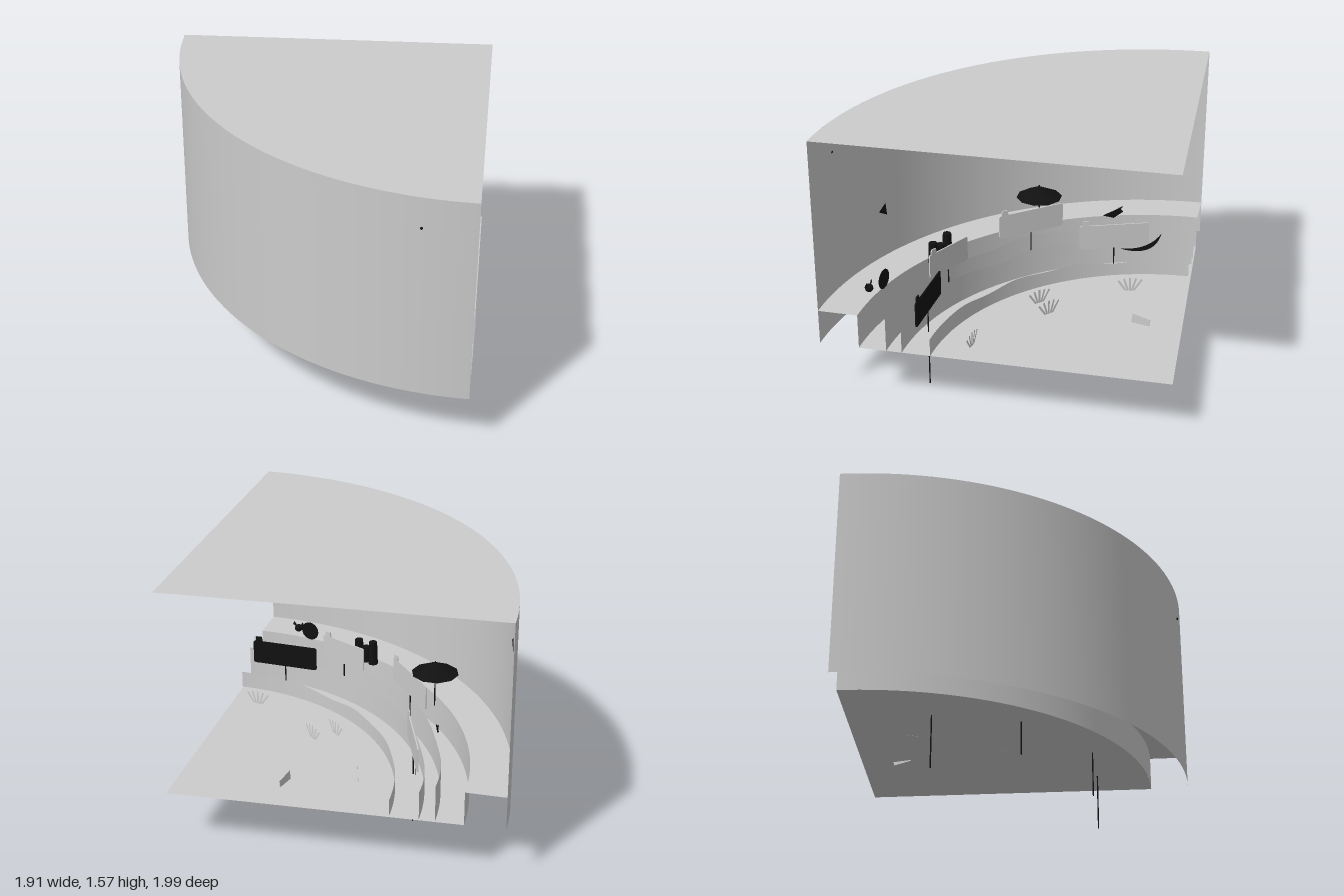
import * as THREE from 'three';

const CX = 0.97, CZ = -0.935, R = 1.93;      // centre and radius of the curved wall
const FLOOR = 0.34, TOP = 1.565, SHELF = 0.545;
const T0 = -0.006, T1 = 1.543;               // sweep of the arc, from back to front

const grey = new THREE.MeshStandardMaterial({ color: 0xcccccc, side: THREE.DoubleSide });
const dark = new THREE.MeshStandardMaterial({ color: 0x111111, side: THREE.DoubleSide });

const arc = (r, t) => [CX - r * Math.cos(t), CZ + r * Math.sin(t)];
const angleAt = (r, z) => Math.asin(Math.min(1, (z - CZ) / r));

export function createModel() {
  const model = new THREE.Group();
  const add = (name, geo, mat = grey, parent = model) => {
    const m = new THREE.Mesh(geo, mat);
    m.name = name;
    parent.add(m);
    return m;
  };

  // Surface spanned between two curves a(u) and b(u)
  const ribbon = (a, b, n) => {
    const pos = [], idx = [];
    for (let i = 0; i <= n; i++) {
      pos.push(...a(i / n), ...b(i / n));
      if (i < n) idx.push(2 * i, 2 * i + 1, 2 * i + 2, 2 * i + 1, 2 * i + 3, 2 * i + 2);
    }
    const g = new THREE.BufferGeometry();
    g.setAttribute('position', new THREE.Float32BufferAttribute(pos, 3));
    g.setIndex(idx);
    g.computeVertexNormals();
    return g;
  };
  const onArc = (r, yOf) => u => {
    const [x, z] = arc(r, T0 + u * (T1 - T0));
    return [x, yOf(u), z];
  };

  // Flat sector with its point at the open corner
  const sector = (r, y) => {
    const s = new THREE.Shape();
    s.moveTo(0.952, 1);
    for (let i = 0; i <= 64; i++) {
      const [x, z] = arc(r, T0 + (i / 64) * (T1 - T0));
      s.lineTo(x, -z);
    }
    return new THREE.ShapeGeometry(s).rotateX(-Math.PI / 2).translate(0, y, 0);
  };

  // Group on the arc whose local z faces the centre
  const place = (name, r, t, y) => {
    const g = new THREE.Group(), [x, z] = arc(r, t);
    g.name = name;
    g.position.set(x, y, z);
    g.rotation.y = Math.atan2(Math.cos(t), -Math.sin(t));
    model.add(g);
    return g;
  };
  const flat = pts => new THREE.ShapeGeometry(new THREE.Shape(pts.map(p => new THREE.Vector2(...p))));

  // Shell
  add('backWall', ribbon(onArc(R, () => FLOOR), onArc(R, () => TOP), 72));
  add('ceiling', sector(R, TOP));
  add('floor', sector(1.7, FLOOR));
  add('shelf', ribbon(onArc(1.7, () => SHELF), onArc(R, () => SHELF), 72));
  add('shelfFront', ribbon(onArc(1.7, () => FLOOR), onArc(1.7, () => SHELF), 72));

  // Scenery layers with wavy tops, heights listed from back to front
  const layers = [
    [1.54, [0.56, 0.53, 0.5, 0.54, 0.56, 0.53, 0.54, 0.56, 0.58, 0.58]],
    [1.45, [0.51, 0.48, 0.46, 0.49, 0.51, 0.48, 0.5, 0.51, 0.49, 0.54]],
    [1.285, [0.44, 0.44, 0.42, 0.44, 0.43, 0.44, 0.42, 0.44, 0.44, 0.445]],
  ];
  for (const [r, heights] of layers) {
    const c = new THREE.SplineCurve(heights.map((y, i) => new THREE.Vector2(i, y)));
    add('sceneryLayer', ribbon(onArc(r, () => FLOOR), onArc(r, u => c.getPoint(u).y), 72));
  }

  // Signs on long poles: x, z, turn, width, bottom, top, pole foot
  const signs = [
    [0.67, 0.43, Math.PI - 0.07, 0.42, 0.48, 0.63, 0, dark],
    [0.28, 0.41, null, 0.33, 0.55, 0.7, 0.07, grey],
    [-0.225, 0.02, null, 0.43, 0.59, 0.74, 0.14, grey],
    [-0.35, -0.475, null, 0.43, 0.475, 0.63, 0.025, grey],
  ];
  for (const [x, z, turn, w, y0, y1, foot, mat] of signs) {
    const g = new THREE.Group();
    g.name = 'sign';
    g.position.set(x, 0, z);
    g.rotation.y = turn ?? Math.atan2(CX - x, CZ - z);
    model.add(g);
    const h = y1 - y0, c = 0.015, s = new THREE.Shape();
    s.moveTo(-w / 2 + c, 0);
    s.lineTo(w / 2 - c, 0);
    s.quadraticCurveTo(w / 2, 0, w / 2, c);
    s.lineTo(w / 2, h - c);
    s.quadraticCurveTo(w / 2, h, w / 2 - c, h);
    // small tab on the top edge
    s.lineTo(-w / 2 + 0.06, h);
    s.lineTo(-w / 2 + 0.055, h + 0.03);
    s.lineTo(-w / 2 + 0.02, h + 0.03);
    s.lineTo(-w / 2 + 0.015, h);
    s.quadraticCurveTo(-w / 2, h, -w / 2, h - c);
    s.lineTo(-w / 2, c);
    s.quadraticCurveTo(-w / 2, 0, -w / 2 + c, 0);
    add('signPanel', new THREE.ExtrudeGeometry(s, { depth: 0.008, bevelEnabled: false }), mat, g)
      .position.set(0, y0, 0);
    add('signPole', new THREE.CylinderGeometry(0.004, 0.004, y0 + 0.03 - foot, 8), dark, g)
      .position.y = (y0 + 0.03 + foot) / 2;
  }

  // Dashed trail with a loop, points as [z, y] on the wall
  const trail = new THREE.SplineCurve([
    [0.94, 0.69], [0.8, 0.69], [0.74, 0.74], [0.71, 0.84], [0.62, 0.91], [0.5, 0.95], [0.44, 1.08],
    [0.49, 1.22], [0.57, 1.26], [0.64, 1.2], [0.65, 1.05], [0.62, 0.92], [0.52, 0.9], [0.38, 0.97],
    [0.2, 1.15], [0, 1.25], [-0.25, 1.285], [-0.62, 1.275]].map(p => new THREE.Vector2(...p)));
  for (let i = 0; i < 60; i++) {
    const p = trail.getPointAt((i + 0.5) / 60), d = trail.getTangentAt((i + 0.5) / 60);
    const t = angleAt(R - 0.006, p.x);
    const g = place('trailDash', R - 0.006, t, p.y);
    const run = -d.x / Math.max(0.2, Math.cos(t));
    const len = 0.028 * Math.hypot(run, d.y);
    add('dash', new THREE.PlaneGeometry(len, 0.016), grey, g).rotation.z = Math.atan2(d.y, run);
  }

  // Cards on the wall: z, y, width, height
  for (const [z, y, w, h] of [[-0.33, 1.11, 0.3, 0.23], [-0.54, 0.76, 0.57, 0.24],
    [0.895, 0.82, 0.2, 0.18], [0.965, 1.33, 0.18, 0.1], [0.26, 1.32, 0.13, 0.09]]) {
    const t = angleAt(R - 0.005, z), k = w / (R - 0.005);
    const span = Math.min(k, 2 * (T1 - t));
    const edge = yy => u => {
      const [px, pz] = arc(R - 0.005, t + (u - 0.5) * span);
      return [px, yy, pz];
    };
    add('wallCard', ribbon(edge(y - h / 2), edge(y + h / 2), 10));
  }

  // Balloons and small pennants on the wall
  for (const [z, y, s] of [[0.64, 1.33, 1], [0.21, 1.01, 0.9]]) {
    const g = place('balloon', R - 0.01, angleAt(R - 0.01, z), y), b = new THREE.Shape();
    b.moveTo(0, -0.1 * s);
    b.bezierCurveTo(0.13 * s, 0.03, 0.07 * s, 0.08 * s, 0, 0.07 * s);
    b.bezierCurveTo(-0.07 * s, 0.08 * s, -0.13 * s, 0.03, 0, -0.1 * s);
    add('balloonShape', new THREE.ShapeGeometry(b), grey, g);
  }
  for (const [z, y] of [[0.38, 1.14], [0.83, 0.85], [-0.45, 1.22]])
    add('pennantShape', flat([[-0.04, 0], [0.03, -0.04], [0.02, 0.04]]), dark, place('pennant', R - 0.012, angleAt(R, z), y));
  const peg = add('wallPeg', new THREE.SphereGeometry(0.008, 8, 6), dark);
  peg.position.set(0.62, 1.385, 0.965);

  // Parasol on the shelf
  const parasol = place('parasol', 1.64, angleAt(1.64, 0), SHELF);
  add('parasolPole', new THREE.CylinderGeometry(0.004, 0.004, 0.29, 8), dark, parasol).position.y = 0.145;
  add('parasolCanopy', new THREE.ConeGeometry(0.14, 0.07, 10, 1, true), dark, parasol).position.y = 0.25;

  // Sand castle, ball and crab on the shelf
  const castle = place('castle', 1.64, angleAt(1.64, 0.49), SHELF);
  [[-0.06, 0.13], [0, 0.1], [0.06, 0.15]].forEach(([x, h]) =>
    add('castleTower', new THREE.CylinderGeometry(0.025, 0.03, h, 8), dark, castle).position.set(x, h / 2, 0));
  const ball = place('ball', 1.69, angleAt(1.69, 0.71), 0.605);
  add('ballBody', new THREE.CircleGeometry(0.06, 20), dark, ball);
  const crab = place('crab', 1.73, angleAt(1.73, 0.77), 0.59);
  add('crabBody', new THREE.SphereGeometry(0.025, 10, 8), dark, crab);
  for (const s of [-1, 1]) add('crabClaw', flat([[0, 0], [s * 0.04, 0.02], [s * 0.03, 0.045]]), dark, crab);

  // Crescent boat and a perched bird near the back end
  const boat = place('boat', 1.4, angleAt(1.4, -0.64), 0.43);
  const hull = new THREE.Shape();
  hull.moveTo(-0.14, 0.03);
  hull.quadraticCurveTo(0.08, -0.04, 0.12, 0.13);
  hull.quadraticCurveTo(0.04, 0.01, -0.14, 0.03);
  add('boatHull', new THREE.ShapeGeometry(hull), dark, boat);
  const bird = place('bird', 1.53, angleAt(1.53, -0.45), 0.63);
  add('birdBody', flat([[-0.07, 0], [0, -0.02], [0.06, 0.02], [0.03, 0.05], [0.06, 0.06], [0, 0.03]]), dark, bird);

  // Branching corals standing on the floor
  for (const [x, z] of [[0.77, 0.15], [0.2, -0.12], [0.32, -0.2], [-0.06, -0.62]]) {
    const g = new THREE.Group();
    g.name = 'coral';
    g.position.set(x, FLOOR, z);
    g.rotation.y = Math.atan2(CX - x, CZ - z);
    model.add(g);
    for (let i = -2; i <= 2; i++) {
      const b = add('coralBranch', new THREE.PlaneGeometry(0.012, 0.085).translate(0, 0.042, 0), grey, g);
      b.rotation.z = -i * 0.3;
      b.position.x = i * 0.012;
    }
  }

  // Starfish lying on the floor and a tilted board
  for (let i = 0; i < 5; i++) {
    const arm = add('starfishArm', flat([[-0.012, 0], [0.012, 0], [0, 0.065]]).rotateX(-Math.PI / 2));
    arm.position.set(0.655, FLOOR + 0.006, -0.29);
    arm.rotation.y = (i * 2 * Math.PI) / 5;
  }
  const board = add('tiltedBoard', new THREE.BoxGeometry(0.11, 0.065, 0.004));
  board.position.set(0.335, 0.358, -0.74);
  board.rotation.set(0, 1.3, -0.15);
  return model;
}
